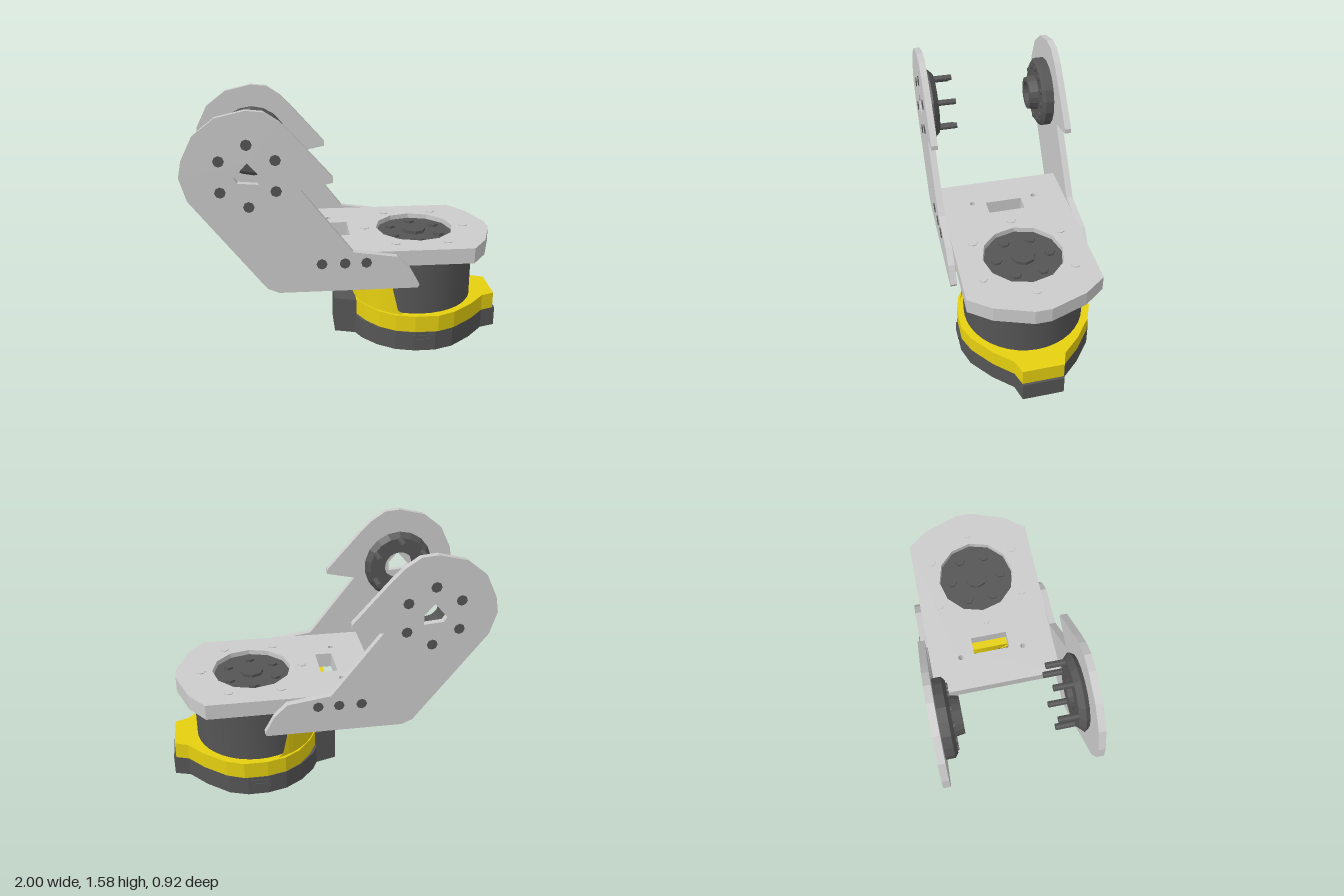
import * as THREE from 'three';

const mat = (color, extra) => new THREE.MeshStandardMaterial({ color, flatShading: true, ...extra });
const GREY = mat(0xcccccc), DARK = mat(0x555555), YELLOW = mat(0xe6d010);
const DARK_OPEN = mat(0x555555, { side: THREE.DoubleSide });
const YELLOW_OPEN = mat(0xe6d010, { side: THREE.DoubleSide });
const AXIS = 0.45;                  // x of the turning motor
const HEAD = [-0.61, 1.2];          // x, y of the upper joint
const SIDES = [1, -1];

export function createModel() {
  const model = new THREE.Group();

  function add(name, geometry, material, x = 0, y = 0, z = 0) {
    const mesh = new THREE.Mesh(geometry, material);
    mesh.name = name;
    mesh.position.set(x, y, z);
    model.add(mesh);
    return mesh;
  }
  const toPoints = (pts) => pts.map(([x, y]) => new THREE.Vector2(x, y));
  const toShape = (pts) => new THREE.Shape(toPoints(pts));
  const ring = (n, r, cx, cy, start = 0) => Array.from({ length: n }, (_, i) => {
    const a = start + (i / n) * Math.PI * 2;
    return [cx + r * Math.cos(a), cy + r * Math.sin(a)];
  });
  const hole = (shape, x, y, r, sides = 8) =>
    shape.holes.push(new THREE.Path(toPoints(ring(sides, r, x, y))));
  const extrude = (shape, depth) => new THREE.ExtrudeGeometry(shape, { depth, bevelEnabled: false });
  // upright profile, from z0 to z1
  const slabZ = (name, shape, z0, z1, material) => add(name, extrude(shape, z1 - z0), material, 0, 0, z0);
  // flat outline (x, -z), from y0 to y1
  const slabY = (name, shape, y0, y1, material) =>
    add(name, extrude(shape, y1 - y0).rotateX(-Math.PI / 2), material, 0, y0, 0);
  const rodZ = (name, r, z0, z1, x, y, material, sides = 10) =>
    add(name, new THREE.CylinderGeometry(r, r, Math.abs(z1 - z0), sides).rotateX(Math.PI / 2),
      material, x, y, (z0 + z1) / 2);
  const rodY = (name, r, y0, y1, x, z, material, sides = 24) =>
    add(name, new THREE.CylinderGeometry(r, r, y1 - y0, sides), material, x, (y0 + y1) / 2, z);
  // half outline mirrored across the x axis
  const mirrored = (half) => toShape([...half, ...half.slice().reverse().map(([x, z]) => [x, -z])]);

  // Base with mounting holes, and a rear connector block
  const base = mirrored([[0.03, 0.13], [0.08, 0.23], [0.17, 0.33], [0.28, 0.4], [0.4, 0.43], [0.53, 0.43],
    [0.65, 0.39], [0.79, 0.28], [0.9, 0.16], [1, 0.13]]);
  for (const [x, z] of ring(4, 0.26, AXIS, 0)) hole(base, x, z, 0.025);
  slabY('base', base, 0, 0.13, DARK);
  slabY('rearConnector', mirrored([[-0.09, 0.12], [0.05, 0.16]]), 0, 0.24, DARK);
  for (const s of SIDES) {
    add('basePort', new THREE.BoxGeometry(0.13, 0.07, 0.02), DARK, 0.45, 0.075, s * 0.425);
    add('portLip', new THREE.BoxGeometry(0.09, 0.02, 0.02), DARK, 0.45, 0.075, s * 0.43);
  }

  // Yellow collar around the motor
  const collar = mirrored([[0.05, 0.13], [0.1, 0.23], [0.18, 0.33], [0.28, 0.395], [0.4, 0.425],
    [0.55, 0.425], [0.66, 0.38], [0.8, 0.27], [0.9, 0.16], [0.985, 0.13]]);
  hole(collar, AXIS, 0, 0.375, 28);
  slabY('collar', collar, 0.13, 0.24, YELLOW);

  // Curved yellow wall: a tube whose rim drops from the deck to the collar
  const wall = new THREE.CylinderGeometry(0.41, 0.41, 0.46, 64, 1, true).translate(AXIS, 0.36, 0);
  const p = wall.attributes.position;
  for (let i = 0; i < p.count; i++) {
    if (p.getY(i) < 0.36) continue;
    const t = THREE.MathUtils.clamp((p.getX(i) - 0.24) / 0.14, 0, 1);
    p.setY(i, 0.235 + 0.355 * (1 - t) ** 5);
  }
  add('curvedWall', wall, YELLOW_OPEN);

  // Gussets and a leaning brace that carry the rear of the deck
  const gusset = toShape([[0.02, 0.44], [0.25, 0.44], [0.25, 0.59], [-0.24, 0.59], [-0.22, 0.54]]);
  const brace = toShape([[0.05, 0.4], [0.09, 0.4], [0.07, 0.59], [-0.04, 0.59], [0.02, 0.44]]);
  for (const s of SIDES) {
    slabZ('gusset', gusset, s > 0 ? 0.34 : -0.405, s > 0 ? 0.405 : -0.34, YELLOW);
    rodZ('gussetScrew', 0.025, s * 0.4, s * 0.41, 0, 0.53, DARK);
  }
  slabZ('rearBrace', brace, -0.34, 0.34, YELLOW);

  // Motor drum
  rodY('motor', 0.385, 0.1, 0.595, AXIS, 0, new THREE.MeshStandardMaterial({ color: 0x555555 }), 40);

  // Deck plate
  const deck = mirrored([[-0.33, 0.415], [0.76, 0.415], [0.86, 0.28], [0.94, 0.05]]);
  hole(deck, AXIS, 0, 0.255, 12);
  deck.holes.push(new THREE.Path(toPoints([[-0.1, -0.12], [0.01, -0.12], [0.01, 0.12], [-0.1, 0.12]])));
  for (const s of SIDES) hole(deck, -0.11, s * 0.21, 0.018);
  slabY('deck', deck, 0.59, 0.69, GREY);
  for (const [x, z] of ring(6, 0.33, AXIS, 0)) rodY('deckScrew', 0.03, 0.68, 0.695, x, z, GREY, 8);

  // Rotor inside the deck opening
  rodY('rotor', 0.25, 0.58, 0.66, AXIS, 0, DARK, 12);
  rodY('rotorBoss', 0.075, 0.66, 0.68, AXIS, 0, DARK, 8);
  for (const [x, z] of ring(6, 0.17, AXIS, 0, 0.5)) rodY('rotorBolt', 0.035, 0.66, 0.675, x, z, DARK, 6);

  // Two side arms
  const arm = toShape([[-0.96, 1.06], [-0.52, 0.49], [-0.45, 0.46], [0.4, 0.46], [0.41, 0.48], [0.35, 0.59],
    [0.27, 0.67], [0.0, 0.71], [-0.31, 1.11], [-0.12, 1.15], [-0.12, 1.18], [-0.35, 1.44], [-0.42, 1.51],
    [-0.51, 1.57], [-0.61, 1.58], [-0.78, 1.54], [-0.91, 1.44], [-0.98, 1.3], [-1, 1.2]]);
  arm.holes.push(new THREE.Path(toPoints(
    [[-0.61, 1.28], [-0.69, 1.19], [-0.67, 1.16], [-0.55, 1.15], [-0.55, 1.21]])));
  const screws = ring(6, 0.185, ...HEAD, Math.PI / 6);
  for (const s of SIDES) {
    slabZ('arm', arm, s > 0 ? 0.415 : -0.457, s > 0 ? 0.457 : -0.415, GREY);
    for (const [x, y] of [...screws, [-0.19, 0.64], [-0.05, 0.64], [0.08, 0.64]])
      rodZ('armScrew', 0.033, s * 0.445, s * 0.461, x, y, DARK, 8);
  }

  // Discs on the inner faces of the arms: lathe profile (radius, depth), turned along z
  const disc = (name, profile, s) => {
    const mesh = add(name, new THREE.LatheGeometry(toPoints(profile), 18), DARK_OPEN, ...HEAD, s * 0.415);
    mesh.rotation.x = -s * Math.PI / 2;
  };
  disc('frontDisc', [[0.1, 0], [0.22, 0], [0.235, 0.025], [0.2, 0.06], [0.1, 0.06], [0.1, 0]], 1);
  disc('backDisc', [[0.08, 0], [0.235, 0], [0.235, 0.055], [0.21, 0.075], [0.12, 0.075],
    [0.11, 0.135], [0.08, 0.135], [0.08, 0]], -1);
  for (const [x, y] of screws) rodZ('discPin', 0.019, 0.24, 0.4, x, y, DARK);
  for (const [x, y] of ring(12, 0.18, ...HEAD)) rodZ('discBolt', 0.02, -0.33, -0.36, x, y, DARK, 8);

  return model;
}
